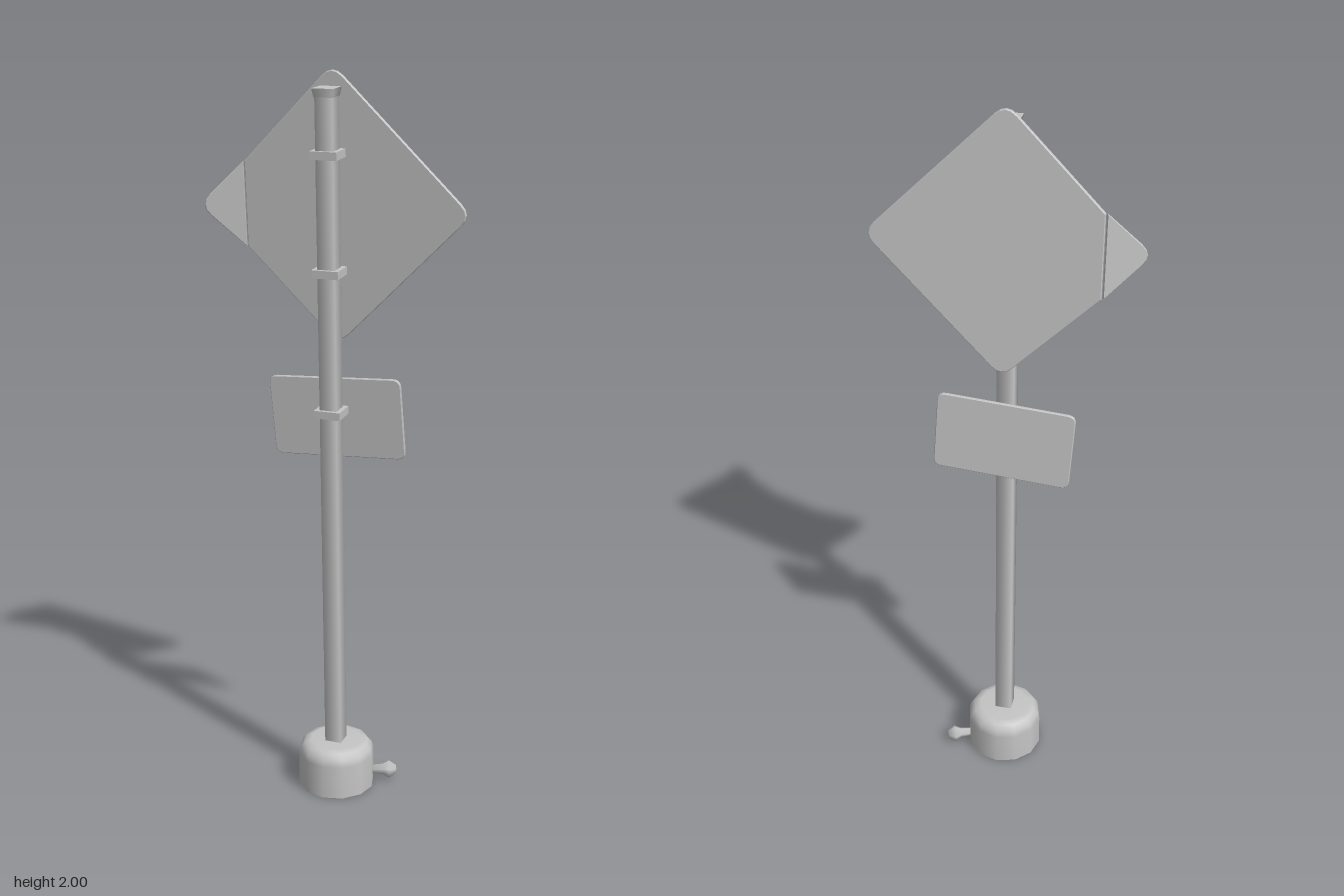
import * as THREE from 'three';

const grey = new THREE.MeshStandardMaterial({ color: 0xc4c4c4 });
grey.name = 'weathered metal grey';
const greyOpen = new THREE.MeshStandardMaterial({ color: 0xc4c4c4, side: THREE.DoubleSide });
greyOpen.name = 'weathered metal grey, open shell';

function part(name, geometry, parent, x = 0, y = 0, z = 0, material = grey) {
  const mesh = new THREE.Mesh(geometry, material);
  mesh.name = name;
  mesh.position.set(x, y, z);
  parent.add(mesh);
  return mesh;
}

// Polygon whose corners [x, y, radius] are rounded by a quadratic curve
function roundedShape(corners) {
  const shape = new THREE.Shape();
  corners.forEach(([x, y, r], i) => {
    const n = corners.length;
    const p = new THREE.Vector2(x, y);
    const toward = ([ax, ay]) => p.clone().add(new THREE.Vector2(ax - x, ay - y).setLength(r));
    const a = toward(corners[(i + n - 1) % n]);
    const b = toward(corners[(i + 1) % n]);
    if (i === 0) shape.moveTo(a.x, a.y); else shape.lineTo(a.x, a.y);
    if (r > 0.001) shape.quadraticCurveTo(x, y, b.x, b.y);
  });
  shape.closePath();
  return shape;
}

// Thin sheet with a slight bevel, centred on z = 0
function sheet(corners, thickness = 0.011) {
  const bevel = 0.002;
  return new THREE.ExtrudeGeometry(roundedShape(corners), {
    depth: thickness - 2 * bevel, curveSegments: 4,
    bevelEnabled: true, bevelThickness: bevel, bevelSize: bevel, bevelOffset: -bevel, bevelSegments: 1,
  }).translate(0, 0, bevel - thickness / 2);
}

// Four-sided bar with smoothed normals, sides facing x and z
function squareBar(topHalf, bottomHalf, height, open = false) {
  const d = Math.SQRT2;
  return new THREE.CylinderGeometry(topHalf * d, bottomHalf * d, height, 4, 1, open).rotateY(Math.PI / 4);
}

export function createModel() {
  const model = new THREE.Group();
  model.name = 'bentRoadSign';

  // Hollow rounded foot, open underneath
  const profile = [[0.108, 0], [0.108, 0.096], [0.103, 0.115], [0.091, 0.13], [0.072, 0.136], [0, 0.136]]
    .map(([r, y]) => new THREE.Vector2(r, y));
  part('foot', new THREE.LatheGeometry(profile, 12), model, -0.011, 0, -0.01, greyOpen);

  // Bolt sticking out of the foot
  const boltProfile = [[0, -0.035], [0.013, -0.035], [0.016, -0.005], [0.026, 0.012], [0.012, 0.032], [0, 0.034]]
    .map(([r, y]) => new THREE.Vector2(r, y));
  const bolt = part('footBolt', new THREE.LatheGeometry(boltProfile, 5), model, 0.118, 0.033, -0.063);
  bolt.quaternion.setFromUnitVectors(new THREE.Vector3(0, 1, 0), new THREE.Vector3(0.93, 0, -0.36).normalize());

  // Leaning square post, its flared cap and the clamps
  const foot = new THREE.Vector3(-0.012, 0, -0.013);
  const lean = new THREE.Vector3(0, 1.96, 0.086).sub(foot);
  const length = lean.length();
  const post = new THREE.Group();
  post.name = 'post';
  post.position.copy(foot);
  post.quaternion.setFromUnitVectors(new THREE.Vector3(0, 1, 0), lean.normalize());
  model.add(post);
  part('postShaft', squareBar(0.0235, 0.0235, length - 0.09), post, 0, 0.08 + (length - 0.09) / 2, 0);
  part('postCap', squareBar(0.029, 0.025, 0.022), post, 0, length - 0.011, 0);
  for (const y of [1.8, 1.5, 1.123]) {
    part('clamp', new THREE.BoxGeometry(0.072, 0.021, 0.066), post, 0, y, 0);
  }

  // Diamond panel, with its left-hand corner folded along a crease
  const panel = new THREE.Group();
  panel.name = 'diamondPanel';
  panel.position.set(-0.003, 1.654, 0.014);
  panel.rotation.x = 0.07;
  model.add(panel);
  const h = 0.36, crease = -0.248, e = h + crease, r = 0.04;
  part('panelSheet', sheet([[crease, -e, 0], [0, -h, r], [h, 0, r], [0, h, r], [crease, e, 0]]), panel);
  const flap = part('foldedCorner', sheet([[0, e, 0], [-e * 1.07, 0, r], [0, -e, 0]]), panel, crease - 0.003, 0, 0.003);
  flap.rotation.y = 0.38;

  // Small crooked plate below
  const w = 0.186, t = 0.111, c = 0.022;
  const plate = part('lowerPlate', sheet([[-w, -t, c], [w, -t, c], [w, t, c], [-w, t, c]], 0.01), model, -0.008, 1.094, -0.009);
  plate.rotation.set(0.07, 0, 0.058);

  return model;
}
